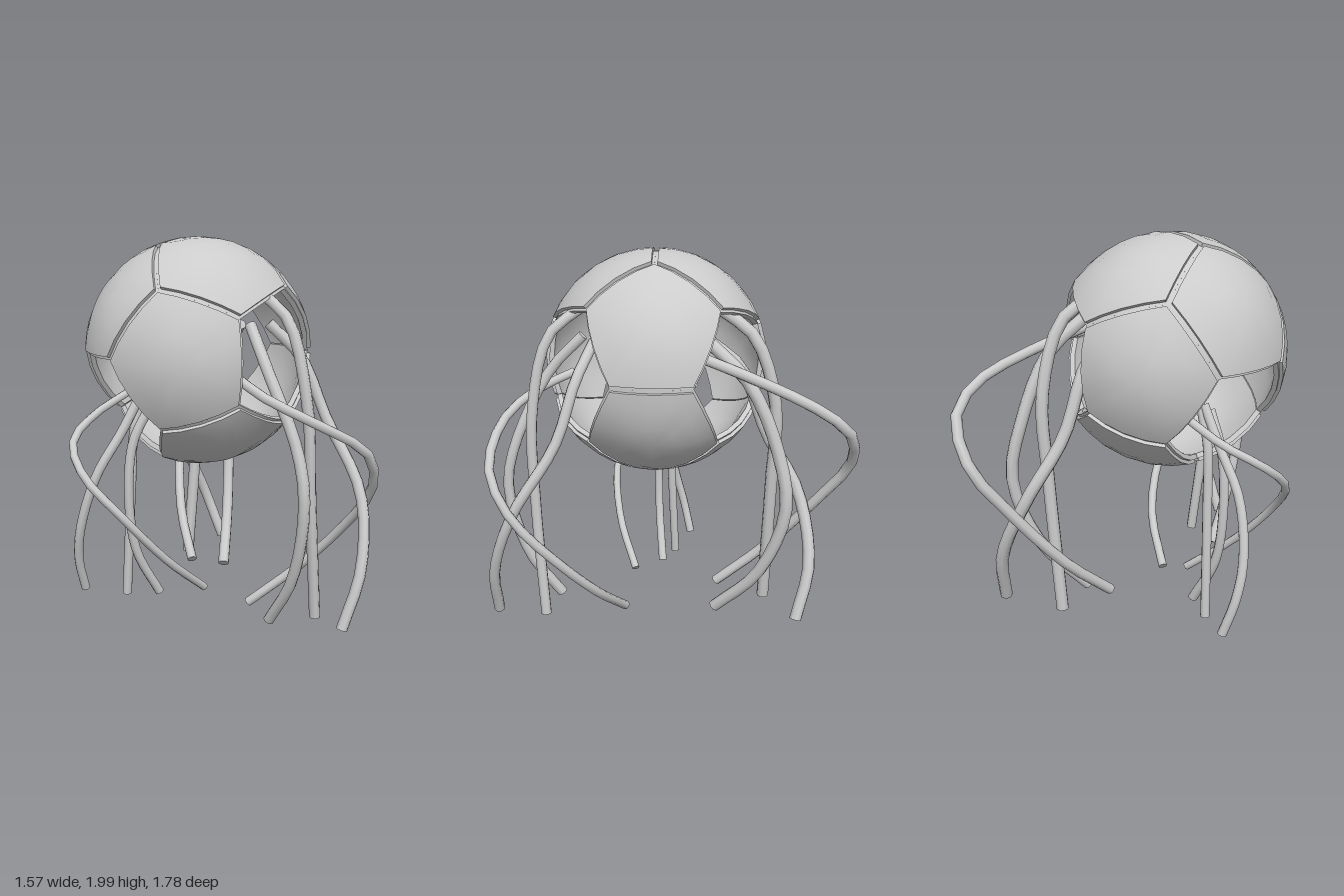
import * as THREE from 'three';
import { toCreasedNormals } from 'three/addons/utils/BufferGeometryUtils.js';

const grey = new THREE.MeshStandardMaterial({ color: 0xcccccc });
const V = (x, y, z) => new THREE.Vector3(x, y, z);

// The twelve face directions of a dodecahedron whose axis is z
function faceNormals() {
  const list = [V(0, 0, 1), V(0, 0, -1)];
  const s = 2 / Math.sqrt(5), c = 1 / Math.sqrt(5);
  for (let k = 0; k < 5; k++) {
    const a = k * 1.2 * Math.PI / 3, b = a + Math.PI / 5;
    list.push(V(s * Math.cos(a), s * Math.sin(a), -c));
    list.push(V(s * Math.cos(b), s * Math.sin(b), c));
  }
  return list;
}

// Section of a panel from outer centre to inner centre: [fraction, radius]
const PANEL = [[0, 0.592], [0.33, 0.592], [0.66, 0.592], [0.94, 0.592],
  [0.945, 0.574], [1, 0.574], [0.99, 0.548], [0.5, 0.548], [0, 0.548]];
const SIDE = 4;

// Curved pentagonal shell with a stepped rim
function panelGeometry(normal, neighbour) {
  const e1 = neighbour.clone().addScaledVector(normal, -normal.dot(neighbour)).normalize();
  const e2 = normal.clone().cross(e1);
  const corners = [];
  for (let k = 0; k < 5; k++) {
    const a = (k + 0.5) * 2 * Math.PI / 5;
    corners.push(normal.clone().multiplyScalar(0.7947)
      .addScaledVector(e1, 0.607 * Math.cos(a)).addScaledVector(e2, 0.607 * Math.sin(a)));
  }
  const centre = normal.clone().multiplyScalar(0.7947);
  const n = 5 * SIDE, pos = [], index = [];
  for (const [f, r] of PANEL) {
    for (let j = 0; j < n; j++) {
      const k = Math.floor(j / SIDE);
      const rim = corners[k].clone().lerp(corners[(k + 1) % 5], (j % SIDE) / SIDE);
      const p = centre.clone().lerp(rim, f).normalize().multiplyScalar(r);
      pos.push(p.x, p.y, p.z);
    }
  }
  const last = PANEL.length - 1;
  for (let i = 0; i < last; i++) {
    for (let j = 0; j < n; j++) {
      const a = i * n + j, d = i * n + (j + 1) % n, b = a + n, c = d + n;
      if (i < last - 1) index.push(a, b, c);
      else index.push(a, b, d);
      if (i > 0 && i < last - 1) index.push(a, c, d);
    }
  }
  const g = new THREE.BufferGeometry();
  g.setAttribute('position', new THREE.Float32BufferAttribute(pos, 3));
  g.setIndex(index);
  return toCreasedNormals(g, 0.5);
}

// Bent round strand with closed ends
function tentacle(points, radius) {
  const curve = new THREE.CatmullRomCurve3(points.map(p => V(...p)));
  const group = new THREE.Group();
  group.name = 'tentacle';
  const tube = new THREE.Mesh(new THREE.TubeGeometry(curve, 18, radius, 8), grey);
  tube.name = 'tentacleTube';
  group.add(tube);
  for (const [t, sign] of [[0, -1], [1, 1]]) {
    const cap = new THREE.Mesh(new THREE.CircleGeometry(radius, 8), grey);
    cap.name = 'tentacleCap';
    cap.position.copy(curve.getPoint(t));
    cap.quaternion.setFromUnitVectors(V(0, 0, 1), curve.getTangent(t).multiplyScalar(sign));
    group.add(cap);
  }
  return group;
}

// Each bundle: a wide loop first, then three hanging strands
const FRONT = [
  [[-0.31, 1.34, 0.28], [-0.34, 1.25, 0.5], [-0.25, 1.15, 0.7], [-0.02, 0.99, 0.86],
    [0.09, 0.85, 0.85], [0.16, 0.7, 0.77], [0.2, 0.48, 0.58], [0.16, 0.25, 0.36], [0.01, 0.03, 0.13]],
  [[-0.12, 1.73, 0.3], [-0.13, 1.6, 0.48], [-0.12, 1.2, 0.59], [-0.09, 0.7, 0.6], [-0.02, 0.08, 0.59]],
  [[-0.17, 1.57, 0.28], [-0.25, 1.38, 0.44], [-0.27, 1, 0.64], [-0.28, 0.75, 0.69],
    [-0.24, 0.35, 0.6], [-0.2, 0.08, 0.43]],
  [[-0.02, 1.57, 0.28], [0.07, 1.4, 0.42], [0.11, 1.1, 0.55], [0.08, 0.75, 0.78],
    [-0.03, 0.4, 0.86], [-0.13, 0.11, 0.82]],
];
const LEFT = [
  [[0.3, 1.52, -0.15], [0.55, 1.41, -0.4], [0.72, 1.3, -0.6], [0.76, 1.17, -0.76],
    [0.64, 0.95, -0.87], [0.5, 0.73, -0.8], [0.28, 0.37, -0.6], [0.13, 0.13, -0.38]],
  [[0.2, 1.72, -0.33], [0.33, 1.6, -0.45], [0.4, 1.25, -0.55], [0.38, 0.8, -0.56], [0.32, 0.09, -0.58]],
  [[0.28, 1.6, -0.2], [0.46, 1.4, -0.35], [0.57, 1.05, -0.47], [0.62, 0.75, -0.5],
    [0.51, 0.36, -0.42], [0.3, 0.08, -0.28]],
  [[0.12, 1.55, -0.3], [0.2, 1.4, -0.46], [0.28, 1.05, -0.58], [0.43, 0.75, -0.7],
    [0.6, 0.4, -0.68], [0.65, 0.11, -0.58]],
];
const RIGHT = [
  [[-0.3, 1.18, -0.45], [-0.5, 1.08, -0.5], [-0.7, 0.97, -0.45], [-0.77, 0.83, -0.3],
    [-0.68, 0.63, -0.13], [-0.45, 0.36, -0.04], [-0.18, 0.14, -0.02]],
  [[-0.33, 1.2, -0.3], [-0.38, 1, -0.33], [-0.39, 0.7, -0.35], [-0.4, 0.08, -0.39]],
  [[-0.36, 1.15, -0.22], [-0.44, 0.95, -0.28], [-0.46, 0.65, -0.3], [-0.42, 0.35, -0.29], [-0.29, 0.09, -0.25]],
  [[-0.35, 1.2, -0.3], [-0.45, 1, -0.35], [-0.57, 0.78, -0.42], [-0.62, 0.5, -0.5],
    [-0.6, 0.3, -0.55], [-0.54, 0.11, -0.57]],
];

export function createModel() {
  const model = new THREE.Group();
  model.name = 'panelledBallWithTentacles';

  // Hollow ball of nine panels, three faces left open
  const ball = new THREE.Group();
  ball.name = 'ball';
  ball.position.set(-0.11, 1.41, -0.11);
  ball.rotation.y = 0.07;
  const normals = faceNormals();
  const open = [0, 2, 8];
  normals.forEach((normal, i) => {
    if (open.includes(i)) return;
    const neighbour = normals.find(p => Math.abs(p.dot(normal) - 0.447) < 0.01);
    const panel = new THREE.Mesh(panelGeometry(normal, neighbour), grey);
    panel.name = 'shellPanel';
    ball.add(panel);
  });
  model.add(ball);

  // One bundle of tentacles from each opening
  for (const [name, paths, radius] of [['frontTentacles', FRONT, 0.029],
    ['leftTentacles', LEFT, 0.033], ['rightTentacles', RIGHT, 0.025]]) {
    const bundle = new THREE.Group();
    bundle.name = name;
    paths.forEach((path, i) => bundle.add(tentacle(path, i ? radius : radius * 0.85)));
    model.add(bundle);
  }
  return model;
}
